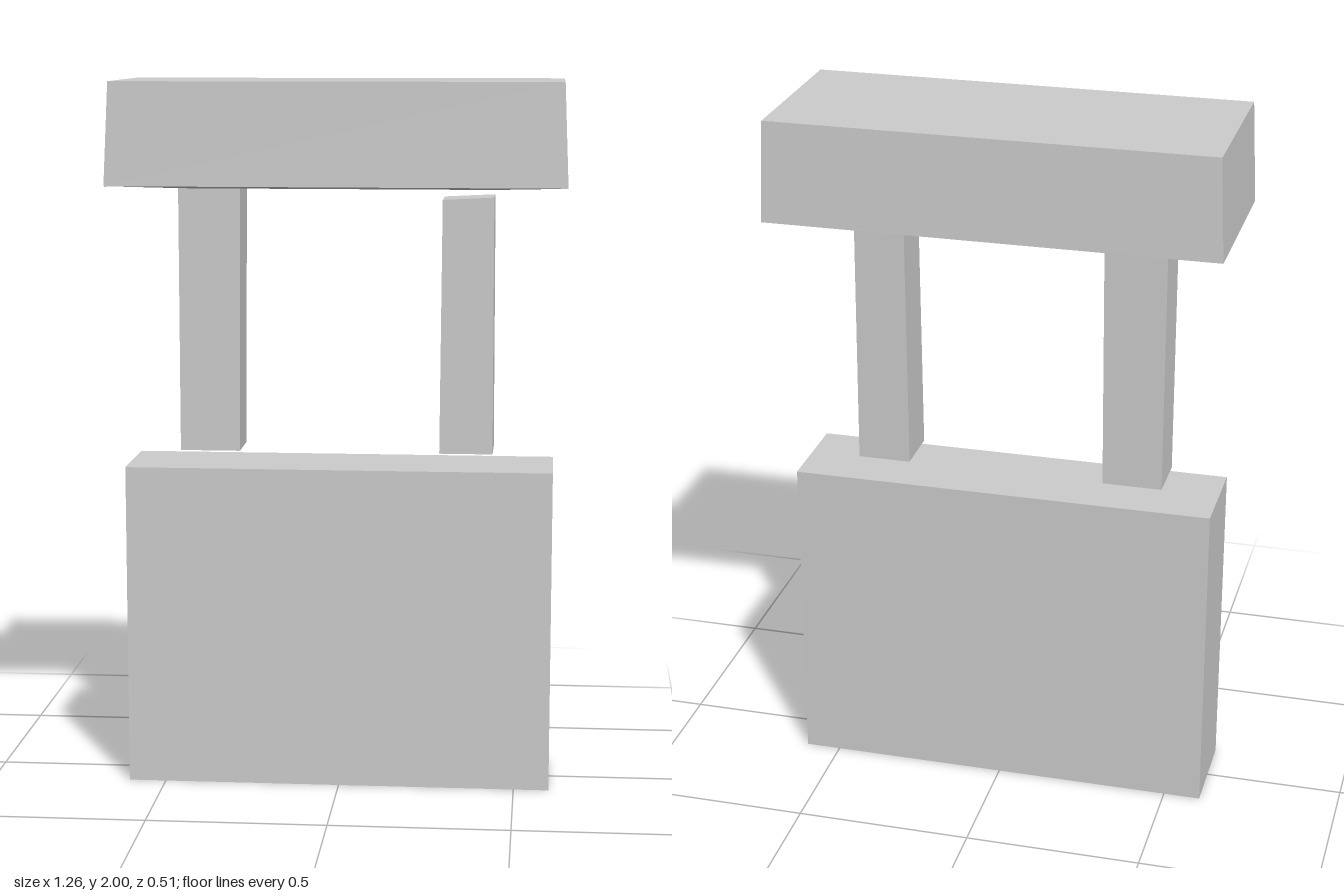
import * as THREE from 'three';

const material = new THREE.MeshStandardMaterial({ color: 0xcccccc, flatShading: true });

// Four-sided block through rectangular rings [y, x0, x1, z0, z1], listed bottom to top.
// tilt raises the +x side of the top ring.
function block(name, rings, tilt = 0) {
  const n = rings.length - 1;
  const box = new THREE.BoxGeometry(1, 1, 1, 1, n, 1);
  const p = box.attributes.position;
  for (let i = 0; i < p.count; i++) {
    const k = Math.round((p.getY(i) + 0.5) * n);
    const [y, x0, x1, z0, z1] = rings[k];
    const right = p.getX(i) > 0;
    p.setXYZ(i, right ? x1 : x0, y + (k === n && right ? tilt : 0), p.getZ(i) > 0 ? z1 : z0);
  }
  const geometry = box.toNonIndexed();
  geometry.computeVertexNormals();
  const mesh = new THREE.Mesh(geometry, material);
  mesh.name = name;
  return mesh;
}

export function createModel() {
  const model = new THREE.Group();
  model.name = 'well';

  // Solid lower block
  model.add(block('base', [
    [0, -0.605, 0.6, -0.135, 0.138],
    [0.917, -0.605, 0.6, -0.135, 0.138],
  ]));

  // Uprights, floating just above the base
  model.add(block('rightPost', [
    [0.958, -0.455, -0.286, -0.073, 0.077],
    [1.701, -0.455, -0.28, -0.073, 0.077],
  ]));
  model.add(block('leftPost', [
    [0.958, 0.28, 0.43, -0.073, 0.077],
    [1.672, 0.285, 0.428, -0.07, 0.073],
  ], 0.007));

  // Tapered roof with a shallow sloping underside
  model.add(block('roof', [
    [1.7, -0.44, 0.43, -0.072, 0.072],
    [1.716, -0.634, 0.631, -0.254, 0.252],
    [2, -0.62, 0.619, -0.248, 0.247],
  ]));

  return model;
}
